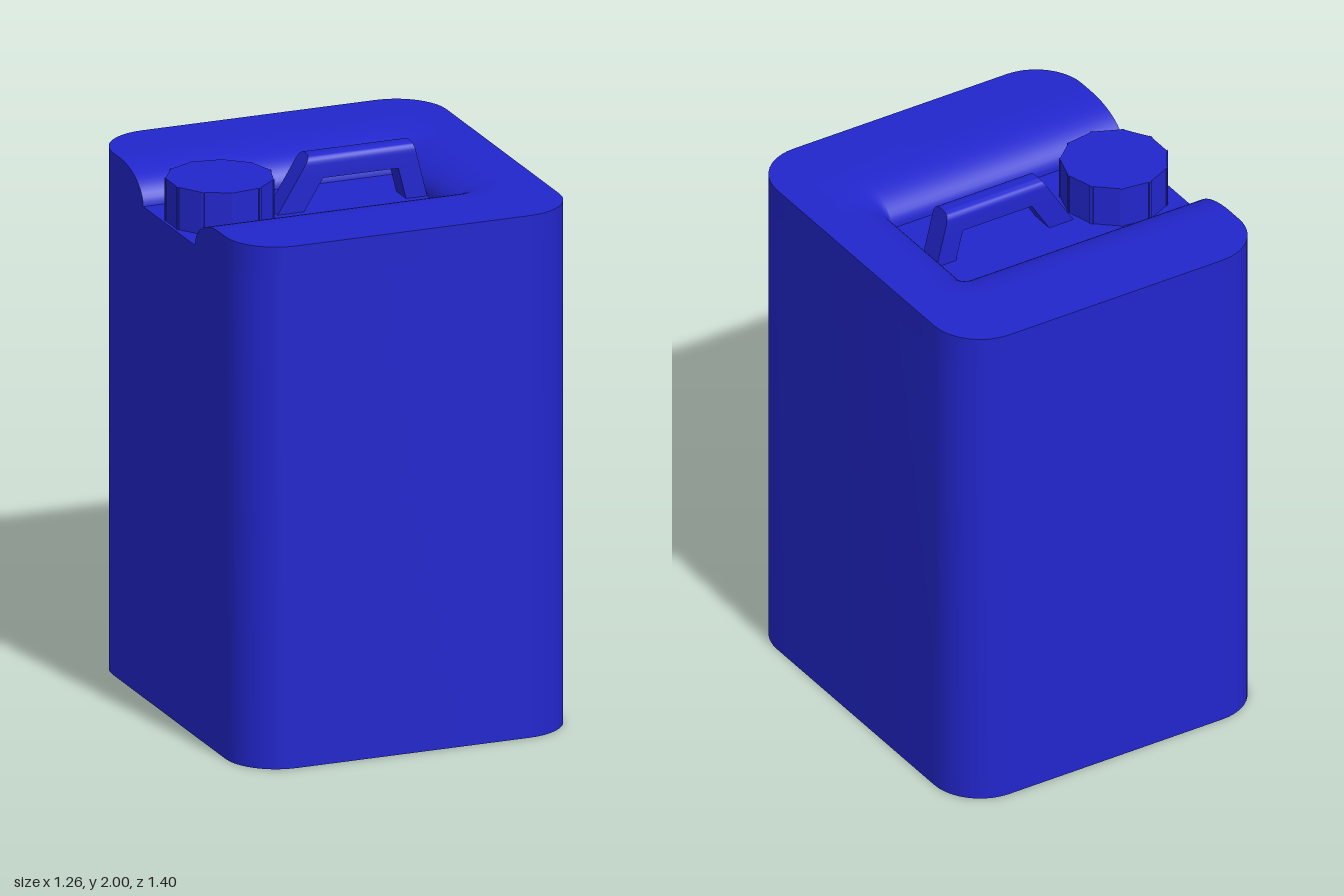
import * as THREE from 'three';
import { mergeGeometries, toCreasedNormals } from 'three/addons/utils/BufferGeometryUtils.js';

const X = 0.63, Z = 0.7, R = 0.19;          // plan half sizes and corner radius
const FLOOR = 1.8, TOP = 1.915;             // recess floor and rim heights
const FX = 0.33, FZ = 0.235, SLOPE = 0.21;  // recess floor extent and shoulder width

const blue = new THREE.MeshStandardMaterial({ color: 0x2226cc });
const blueFlat = new THREE.MeshStandardMaterial({ color: 0x2226cc, flatShading: true });

function arc(cx, cz, r, from, to, n = 10) {
  return Array.from({ length: n + 1 }, (_, i) => {
    const a = from + (to - from) * i / n;
    return [cx + r * Math.cos(a), cz + r * Math.sin(a)];
  });
}

// Outer outline from the -x side, round by +z, +x and -z, as [x, z]
function outline() {
  const q = Math.PI / 2;
  return [
    ...arc(R - X, Z - R, R, 2 * q, q), ...arc(X - R, Z - R, R, q, 0),
    ...arc(X - R, R - Z, R, 0, -q), ...arc(R - X, R - Z, R, -q, -2 * q),
  ];
}

// Horizontal section of the raised rim where the recess has widened by d
function rimSection(d) {
  const q = Math.PI / 2, r = d + 0.002;
  return [
    [-X, FZ + d], ...outline(), [-X, -FZ - d],
    ...arc(FX - 0.002, 0.002 - FZ, r, -q, 0, 8),
    ...arc(FX - 0.002, FZ - 0.002, r, 0, q, 8),
  ];
}

const toShape = pts => new THREE.Shape(pts.map(([x, z]) => new THREE.Vector2(x, -z)));

// U-shaped rim: vertical outside, rounded shoulder falling to the recess
function rimGeometry() {
  const levels = 12, pos = [], index = [];
  let n = 0;
  for (let k = 0; k <= levels; k++) {
    const t = k / levels * Math.PI / 2;
    const pts = rimSection(SLOPE * (1 - Math.cos(t)));
    n = pts.length;
    for (const [x, z] of pts) pos.push(x, FLOOR + (TOP - FLOOR) * Math.sin(t), z);
  }
  for (let k = 0; k < levels; k++) {
    for (let i = 0; i < n; i++) {
      const a = k * n + i, b = k * n + (i + 1) % n;
      index.push(a, b, b + n, a, b + n, a + n);
    }
  }
  const wall = new THREE.BufferGeometry();
  wall.setAttribute('position', new THREE.Float32BufferAttribute(pos, 3));
  wall.setIndex(index);
  const top = new THREE.ShapeGeometry(toShape(rimSection(SLOPE)));
  top.rotateX(-Math.PI / 2).translate(0, TOP, 0);
  top.deleteAttribute('uv');
  top.deleteAttribute('normal');
  const merged = mergeGeometries([wall.toNonIndexed(), top.toNonIndexed()]);
  merged.computeVertexNormals();
  return toCreasedNormals(merged, 0.6);
}

function bodyGeometry() {
  const g = new THREE.ExtrudeGeometry(toShape(outline()), { depth: FLOOR, bevelEnabled: false });
  return toCreasedNormals(g.rotateX(-Math.PI / 2), 0.6);
}

function add(parent, name, geometry, material = blue) {
  const mesh = new THREE.Mesh(geometry, material);
  mesh.name = name;
  parent.add(mesh);
  return mesh;
}

// Handle: two slanted legs and a round-topped bar
function createHandle() {
  const handle = new THREE.Group();
  handle.name = 'handle';
  const under = 1.915, peak = 2, w = 0.045;
  const leftEnd = y => -0.235 + (y - FLOOR) * 0.62;
  const rightEnd = y => 0.33 - (y - FLOOR) * 0.25;
  const leg = (end, inset) => {
    const s = new THREE.Shape([
      [end(FLOOR), FLOOR], [end(FLOOR) + inset, FLOOR],
      [end(under) + inset, under], [end(under), under],
    ].map(p => new THREE.Vector2(...p)));
    return new THREE.ExtrudeGeometry(s, { depth: 2 * w, bevelEnabled: false }).translate(0, 0, -w);
  };
  add(handle, 'handleFrontLeg', leg(leftEnd, 0.1));
  add(handle, 'handleRearLeg', leg(rightEnd, -0.08));

  const section = new THREE.Shape();
  section.moveTo(-w, under).lineTo(w, under).lineTo(w, peak - 0.035);
  section.quadraticCurveTo(w, peak, w - 0.035, peak).lineTo(0.035 - w, peak);
  section.quadraticCurveTo(-w, peak, -w, peak - 0.035);
  const bar = new THREE.ExtrudeGeometry(section, { depth: 1, bevelEnabled: false, curveSegments: 6 });
  bar.rotateY(Math.PI / 2);
  // Slant both ends of the bar to follow the legs
  const p = bar.attributes.position;
  for (let i = 0; i < p.count; i++) {
    p.setX(i, p.getX(i) > 0.5 ? rightEnd(p.getY(i)) : leftEnd(p.getY(i)));
  }
  add(handle, 'handleBar', toCreasedNormals(bar, 0.6));
  handle.position.z = -0.01;
  return handle;
}

// Screw cap: eleven-sided drum with a thin grip rib on each corner
function createCap() {
  const cap = new THREE.Group();
  cap.name = 'cap';
  const sides = 11, h = 0.155, r = 0.191;
  const drum = new THREE.CylinderGeometry(r, r, h, sides).rotateY(Math.PI / 2);
  add(cap, 'capDrum', drum, blueFlat);
  for (let i = 0; i < sides; i++) {
    const a = i / sides * Math.PI * 2;
    const rib = add(cap, 'capRib', new THREE.BoxGeometry(0.012, h, 0.012));
    rib.position.set(Math.cos(a) * (r - 0.004), 0, -Math.sin(a) * (r - 0.004));
    rib.rotation.y = a;
  }
  cap.position.set(-0.435, FLOOR + h / 2, -0.008);
  return cap;
}

export function createModel() {
  const model = new THREE.Group();
  model.name = 'jerrycan';
  add(model, 'body', bodyGeometry());
  add(model, 'rim', rimGeometry());
  model.add(createHandle(), createCap());
  return model;
}
